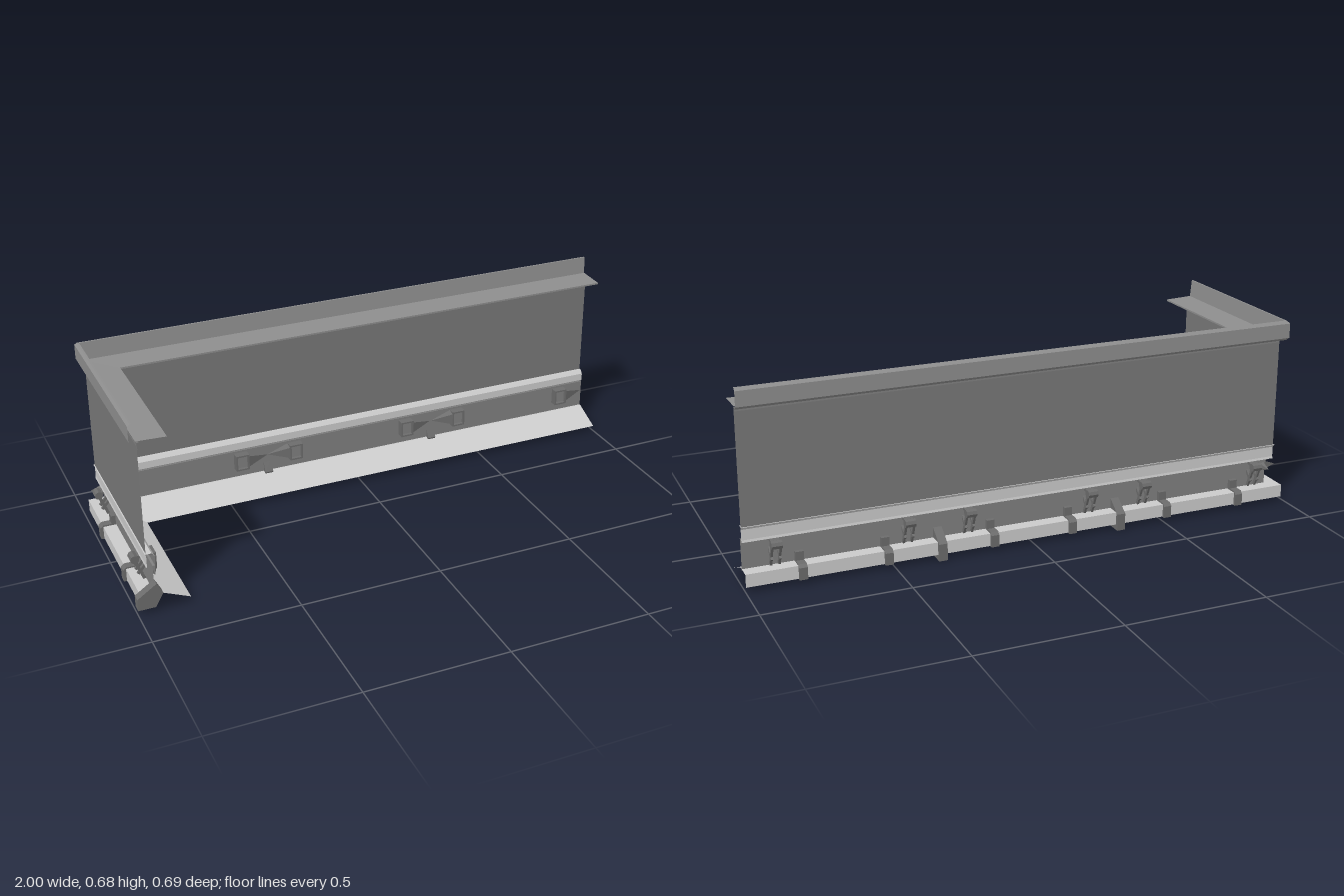
import * as THREE from 'three';
import { ConvexGeometry } from 'three/addons/geometries/ConvexGeometry.js';

const X0 = -0.985, Z0 = -0.335; // outer faces of the short and long legs

const paint = (color) => new THREE.MeshStandardMaterial({ color, flatShading: true });
const light = paint(0xcccccc);
const capGrey = paint(0x8e8e8e);
const skirtGrey = paint(0x808080);
const wallGrey = paint(0x787878);
const fittingGrey = paint(0x6c6c6c);

function add(parent, name, material, geometry, x = 0, y = 0, z = 0) {
  const mesh = new THREE.Mesh(geometry, material);
  mesh.name = name;
  mesh.position.set(x, y, z);
  parent.add(mesh);
  return mesh;
}

// Sweeps a profile of [inward offset, height] points round the mitred corner, open at both ends.
function lSweep(profile, endZ = 0.335) {
  const rows = [
    profile.map(([d, y]) => [X0 + d, y, endZ]),
    profile.map(([d, y]) => [X0 + d, y, Z0 + d]),
    profile.map(([d, y]) => [1, y, Z0 + d]),
  ];
  const out = [];
  for (let s = 0; s < 2; s++) {
    for (let i = 0; i < profile.length; i++) {
      const j = (i + 1) % profile.length;
      const a = rows[s][i], b = rows[s + 1][i], c = rows[s + 1][j], d = rows[s][j];
      out.push(...a, ...b, ...c, ...a, ...c, ...d);
    }
  }
  const g = new THREE.BufferGeometry();
  g.setAttribute('position', new THREE.Float32BufferAttribute(out, 3));
  g.computeVertexNormals();
  return g;
}

// Extrudes an [offset, height] profile along a leg, centred on its own middle.
function legExtrude(profile, width) {
  const shape = new THREE.Shape(profile.map(([d, y]) => new THREE.Vector2(-d, y)));
  const g = new THREE.ExtrudeGeometry(shape, { depth: width, bevelEnabled: false });
  return g.translate(0, 0, -width / 2).rotateY(Math.PI / 2);
}

// Flat bar between two [offset, height] points at position u along the leg.
function bar(parent, name, u, [d1, y1], [d2, y2], width, thick) {
  const length = Math.hypot(d2 - d1, y2 - y1);
  const geometry = new THREE.BoxGeometry(width, length, thick);
  const mesh = add(parent, name, fittingGrey, geometry, u, (y1 + y2) / 2, (d1 + d2) / 2);
  mesh.rotation.x = Math.atan2(d2 - d1, y2 - y1);
}

// Bracket with a window frame, a tapering gusset and an outer hinge.
function bracket(leg, u, side) {
  const g = new THREE.Group();
  g.name = 'bracket';
  g.position.x = u;
  leg.add(g);
  for (const s of [-1, 1]) {
    add(g, 'bracketCheek', fittingGrey, new THREE.BoxGeometry(0.006, 0.06, 0.034), s * 0.022, 0.13, 0.065);
    add(g, 'bracketLedge', fittingGrey, new THREE.BoxGeometry(0.05, 0.006, 0.034), 0, 0.13 + s * 0.027, 0.065);
    bar(g, 'hingeStrut', s * 0.014, [0.012, 0.14], [0.04, 0.068], 0.008, 0.01);
    bar(g, 'hingeTie', s * 0.014, [0.05, 0.125], [0.02, 0.09], 0.008, 0.01);
  }
  add(g, 'bracketPlate', skirtGrey, new THREE.BoxGeometry(0.04, 0.05, 0.012), 0, 0.132, 0.066);
  bar(g, 'hingeArm', 0, [0.055, 0.155], [0.01, 0.148], 0.03, 0.01);
  const pivot = add(g, 'hingePivot', fittingGrey, new THREE.CylinderGeometry(0.015, 0.015, 0.036, 8), 0, 0.145, 0.012);
  pivot.rotation.z = Math.PI / 2;
  add(g, 'gusset', fittingGrey, new ConvexGeometry([
    new THREE.Vector3(side * 0.025, 0.1, 0.05),
    new THREE.Vector3(side * 0.025, 0.16, 0.05),
    new THREE.Vector3(side * 0.025, 0.11, 0.08),
    new THREE.Vector3(side * 0.025, 0.152, 0.08),
    new THREE.Vector3(side * 0.105, 0.13, 0.054),
  ]));
}

// One fitted bay: two brackets and two base straps.
function bay(leg, centre) {
  for (const s of [-1, 1]) {
    bracket(leg, centre + s * 0.225, s);
    add(leg, 'baseStrap', fittingGrey, legExtrude([[-0.01, 0.018], [0.045, 0.018], [0.045, 0.1], [0.03, 0.1],
      [0.03, 0.07], [0, 0.07], [-0.01, 0.06]], 0.028), centre + s * 0.145);
  }
}

function jointClamp(leg, u, bottom, outer) {
  add(leg, 'jointClamp', fittingGrey, legExtrude([[outer, bottom], [0.045, bottom], [0.072, 0.066],
    [0.052, 0.105], [outer, 0.06]], 0.03), u);
}

export function createModel() {
  const model = new THREE.Group();
  model.name = 'cornerParapet';

  // Swept L-shaped parts
  add(model, 'base', light, lSweep([[0, 0.02], [0.165, 0.02], [0.06, 0.065], [0, 0.065]]));
  add(model, 'skirt', skirtGrey, lSweep([[0.046, 0.06], [0.054, 0.06], [0.054, 0.168], [0.046, 0.168]]));
  add(model, 'rail', light, lSweep([[0.026, 0.163], [0.045, 0.163], [0.056, 0.175], [0.056, 0.202],
    [0.046, 0.215], [0.024, 0.215], [0.028, 0.207], [0.028, 0.171]]));
  add(model, 'wallPanel', wallGrey, lSweep([[0.028, 0.21], [0.036, 0.21], [0.036, 0.612], [0.028, 0.612]], 0.33));
  add(model, 'topCap', capGrey, lSweep([[0.012, 0.61], [0.026, 0.61], [0.03, 0.588], [0.125, 0.608], [0.125, 0.614],
    [0.024, 0.618], [0.018, 0.68], [0.012, 0.68], [0.004, 0.671], [0.004, 0.619]], 0.33));

  // Fittings in each leg's frame: x along it, z towards the inside of the corner
  const longLeg = new THREE.Group();
  longLeg.name = 'longLegFittings';
  longLeg.position.z = Z0;
  for (const c of [-0.655, 0.003, 0.668]) bay(longLeg, c);
  for (const u of [-0.327, 0.335]) jointClamp(longLeg, u, 0, -0.01);

  const shortLeg = new THREE.Group();
  shortLeg.name = 'shortLegFittings';
  shortLeg.position.x = X0;
  shortLeg.rotation.y = Math.PI / 2;
  bay(shortLeg, 0);
  jointClamp(shortLeg, -0.33, 0.018, -0.015);

  model.add(longLeg, shortLeg);
  return model;
}
